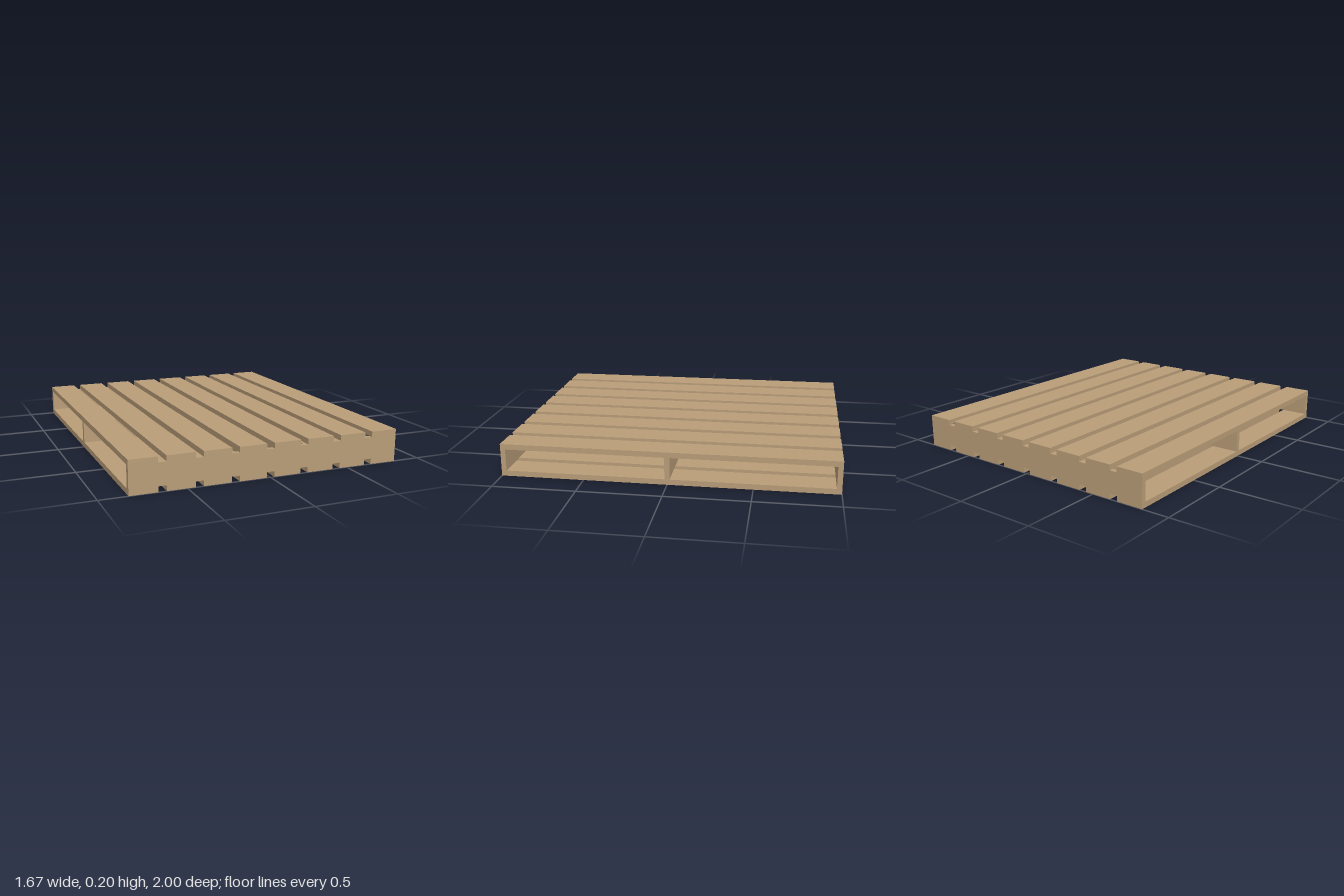
import * as THREE from 'three';

export function createModel() {
  const group = new THREE.Group();
  group.name = 'pallet';
  const wood = new THREE.MeshStandardMaterial({ name: 'light wood', color: 0xb99d78 });

  const width = 1.666, length = 2, height = 0.2;
  const board = 0.0333, slatWidth = 0.1667, slatCount = 8;

  const addBoard = (name, size, position) => {
    const mesh = new THREE.Mesh(new THREE.BoxGeometry(...size), wood);
    mesh.name = name;
    mesh.position.set(...position);
    group.add(mesh);
  };

  // Top and bottom decks of evenly spaced slats
  const pitch = (width - slatWidth) / (slatCount - 1);
  for (let i = 0; i < slatCount; i++) {
    const x = (i - (slatCount - 1) / 2) * pitch;
    addBoard(`topSlat${i + 1}`, [slatWidth, board, length], [x, height - board / 2, 0]);
    addBoard(`bottomSlat${i + 1}`, [slatWidth, board, length], [x, board / 2, 0]);
  }

  // Three upright stringers between the decks
  const thickness = 0.03, edge = (length - thickness) / 2;
  [['back', -edge], ['middle', 0], ['front', edge]].forEach(([side, z]) =>
    addBoard(`${side}Stringer`, [width, height - 2 * board, thickness], [0, height / 2, z]));

  return group;
}
